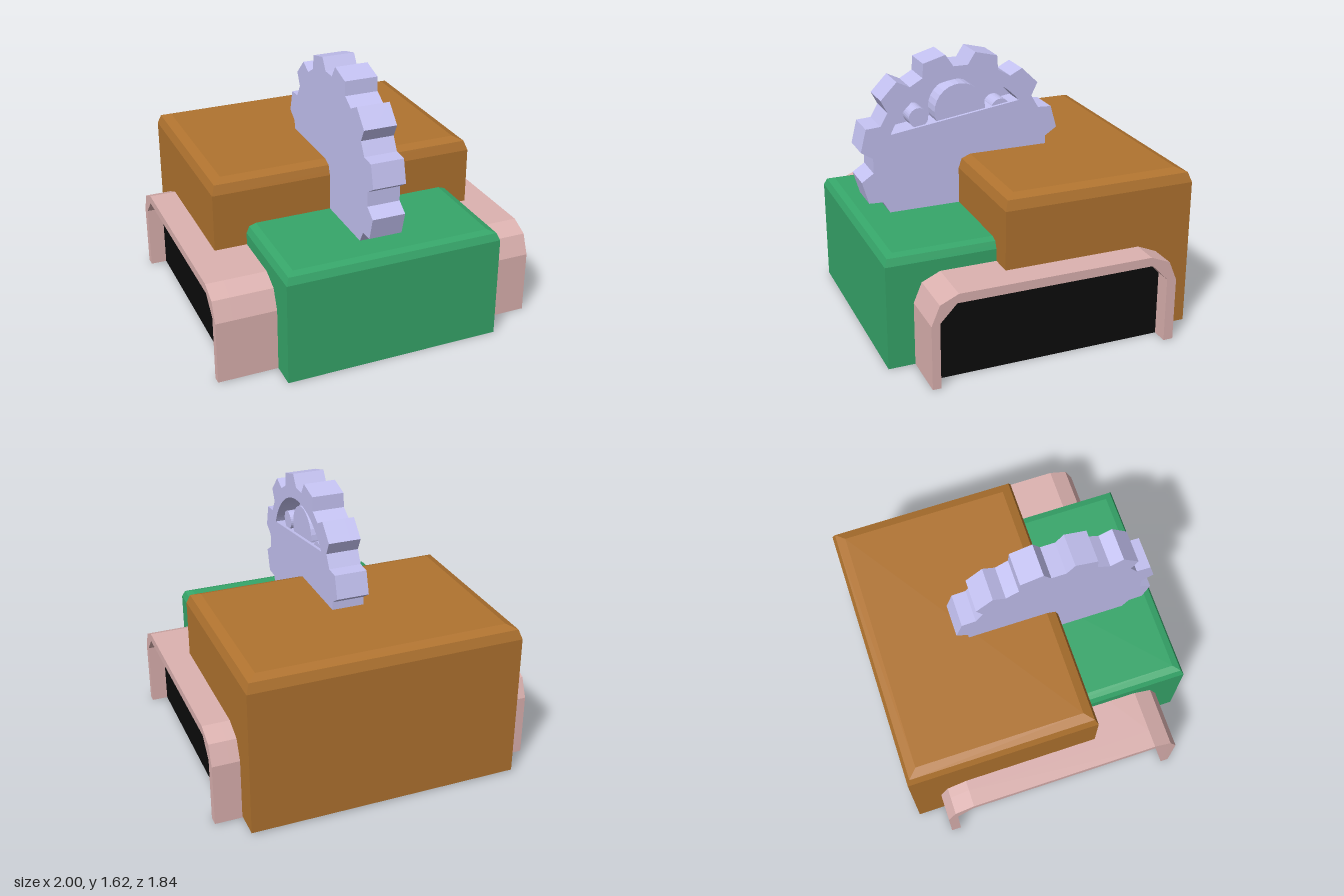
import * as THREE from 'three';

const paint = (color) => new THREE.MeshStandardMaterial({ color, flatShading: true });
const brown = paint(0xb0732f), green = paint(0x36a66a), pink = paint(0xdcb2b0);
const lilac = paint(0xc4c2f2), black = paint(0x0b0b0b);

function add(parent, name, geometry, material) {
  const mesh = new THREE.Mesh(geometry, material);
  mesh.name = name;
  parent.add(mesh);
  return mesh;
}

// Block with a two-step bevel round its top; rings are [height, inset]
function bevelledBlock(x0, x1, z0, z1, rings) {
  const loops = rings.map(([y, i]) => [
    [x0 + i, y, z1 - i], [x1 - i, y, z1 - i], [x1 - i, y, z0 + i], [x0 + i, y, z0 + i],
  ]);
  const pos = [];
  const quad = (a, b, c, d) => pos.push(...a, ...b, ...c, ...a, ...c, ...d);
  for (let r = 0; r < loops.length - 1; r++) {
    for (let k = 0; k < 4; k++) {
      const n = (k + 1) % 4;
      quad(loops[r][k], loops[r][n], loops[r + 1][n], loops[r + 1][k]);
    }
  }
  quad(...loops[loops.length - 1]);
  quad(...[...loops[0]].reverse());
  const geo = new THREE.BufferGeometry();
  geo.setAttribute('position', new THREE.Float32BufferAttribute(pos, 3));
  geo.computeVertexNormals();
  return geo;
}

// Extrude a (z, y) outline along x, from x0 to x1
function extrudeX(shape, x0, x1) {
  const geo = new THREE.ExtrudeGeometry(shape, { depth: x1 - x0, bevelEnabled: false, curveSegments: 28 });
  return geo.rotateY(-Math.PI / 2).translate(x1, 0, 0);
}

const outline = (points) => new THREE.Shape(points.map(([z, y]) => new THREE.Vector2(z, y)));

// Twelve-toothed wheel outline with a notch at the very top
function gearShape() {
  const points = [];
  for (let i = 0; i < 12; i++) {
    for (const [r, deg] of [[0.553, -4.7], [0.553, 4.7], [0.63, 8.4], [0.632, 21.4]]) {
      const a = Math.PI / 2 + THREE.MathUtils.degToRad(i * 30 + deg);
      points.push([r * Math.cos(a), r * Math.sin(a)]);
    }
  }
  return outline(points);
}

export function createModel() {
  const model = new THREE.Group();
  model.name = 'model';

  add(model, 'rearBlock', bevelledBlock(-0.835, 0.835, -0.92, 0.26,
    [[0.01, 0], [0.915, 0], [0.973, 0.02], [0.995, 0.075]]), brown);
  add(model, 'frontBlock', bevelledBlock(-0.635, 0.7, -0.3, 0.92,
    [[0, 0], [0.635, 0], [0.678, 0.018], [0.692, 0.06]]), green);

  // Wide chamfered body, with a recessed dark panel in each end
  const outer = [[0.76, 0], [0.76, 0.39], [0.71, 0.51], [0.6, 0.56],
    [-0.58, 0.56], [-0.7, 0.51], [-0.75, 0.39], [-0.75, 0]];
  const inner = [[0.71, 0], [0.71, 0.4], [0.61, 0.505],
    [-0.59, 0.505], [-0.69, 0.4], [-0.69, 0]];
  const arch = outline([...outer, ...[...inner].reverse()]);
  add(model, 'body', extrudeX(outline(outer), -0.895, 0.895), pink);
  for (const [side, s] of [['left', 1], ['right', -1]]) {
    const [a, b] = s > 0 ? [0.895, 1] : [-1, -0.895];
    add(model, side + 'EndRim', extrudeX(arch, a, b), pink);
    const [c, d] = s > 0 ? [0.89, 0.9] : [-0.9, -0.89];
    add(model, side + 'EndPanel', extrudeX(outline(inner), c, d), black);
  }

  // Upright gear: solid back plate, and a front plate with a segment window
  const gear = new THREE.Group();
  gear.name = 'gear';
  gear.position.set(0, 1, 0.24);
  model.add(gear);
  add(gear, 'gearBack', extrudeX(gearShape(), -0.1, -0.04), lilac);
  const front = gearShape();
  const win = new THREE.Path();
  win.absarc(0, 0, 0.475, 0.388, 2.468, false);
  win.closePath();
  front.holes.push(win);
  add(gear, 'gearFront', extrudeX(front, -0.04, 0.1), lilac);

  // Rollers standing inside the window
  for (const [z, y, r] of [[0, 0.277, 0.16], [0.26, 0.255, 0.06], [-0.26, 0.252, 0.06]]) {
    const roller = new THREE.CylinderGeometry(r, r, 0.13, 28).rotateZ(Math.PI / 2);
    add(gear, 'roller', roller, lilac).position.set(0.015, y, z);
  }
  return model;
}
